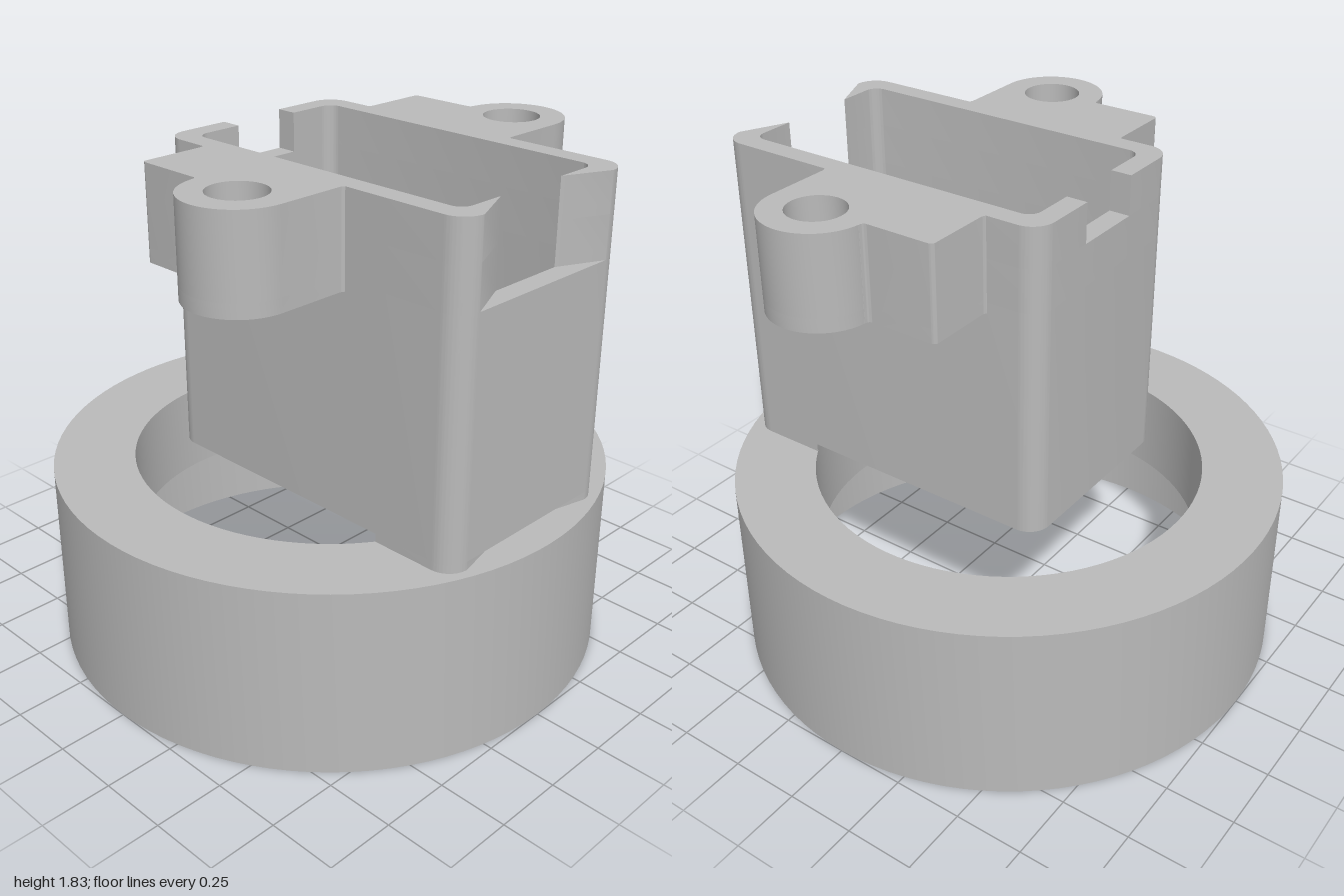
import * as THREE from 'three';
import { toCreasedNormals } from 'three/addons/utils/BufferGeometryUtils.js';

const TOP = 1.83;
// Housing outline: outer and inner rectangles as x0, x1, half depth, corner radius
const OUT = { x0: -0.385, x1: 0.91, z: 0.39, r: 0.08 };
const INN = { x0: -0.31, x1: 0.835, z: 0.315, r: 0.045 };

export function createModel() {
  const model = new THREE.Group();
  const grey = new THREE.MeshStandardMaterial({ color: 0xbababa });
  grey.name = 'grey plastic';

  function add(name, geometry) {
    const mesh = new THREE.Mesh(toCreasedNormals(geometry, 0.6), grey);
    mesh.name = name;
    model.add(mesh);
    return mesh;
  }

  // Extrudes a plan shape upward from y0 to y1
  function slab(name, shape, y0, y1) {
    const g = new THREE.ExtrudeGeometry(shape, { depth: y1 - y0, bevelEnabled: false, curveSegments: 16 });
    g.rotateX(-Math.PI / 2);
    g.translate(0, y0, 0);
    return add(name, g);
  }

  // Mirrors a shape across the x axis
  function flipped(shape, s) {
    const { shape: pts, holes } = shape.extractPoints(16);
    const map = (list) => list.map((p) => new THREE.Vector2(p.x, p.y * s));
    const out = new THREE.Shape(map(pts));
    holes.forEach((h) => out.holes.push(new THREE.Path(map(h))));
    return out;
  }

  function roundedRect(path, { x0, x1, z, r }) {
    path.moveTo(x1, 0);
    path.lineTo(x1, z - r);
    path.absarc(x1 - r, z - r, r, 0, Math.PI / 2);
    path.absarc(x0 + r, z - r, r, Math.PI / 2, Math.PI);
    path.absarc(x0 + r, r - z, r, Math.PI, Math.PI * 1.5);
    path.absarc(x1 - r, r - z, r, Math.PI * 1.5, Math.PI * 2);
    path.closePath();
    return path;
  }

  // Half of the wall, leaving a gap at each end for the notches
  function halfWall(gapLow, gapHigh) {
    const s = new THREE.Shape();
    s.moveTo(OUT.x1, gapHigh);
    s.absarc(OUT.x1 - OUT.r, OUT.z - OUT.r, OUT.r, 0, Math.PI / 2);
    s.absarc(OUT.x0 + OUT.r, OUT.z - OUT.r, OUT.r, Math.PI / 2, Math.PI);
    s.lineTo(OUT.x0, gapLow);
    s.lineTo(INN.x0, gapLow);
    s.absarc(INN.x0 + INN.r, INN.z - INN.r, INN.r, Math.PI, Math.PI / 2, true);
    s.absarc(INN.x1 - INN.r, INN.z - INN.r, INN.r, Math.PI / 2, 0, true);
    s.lineTo(INN.x1, gapHigh);
    s.closePath();
    return s;
  }

  // Base ring with a wide counterbore underneath
  const profile = [[0.71, 0.35], [0.91, 0.35], [0.91, 0], [1, 0], [1, 0.68], [0.71, 0.68], [0.71, 0.35]];
  add('baseRing', new THREE.LatheGeometry(profile.map(([x, y]) => new THREE.Vector2(x, y)), 96));

  // Open rectangular housing
  const body = roundedRect(new THREE.Shape(), OUT);
  body.holes.push(roundedRect(new THREE.Path(), INN));
  slab('housing', body, 0.71, 1.54);

  // Foot joining the housing to the ring
  const foot = new THREE.Shape();
  foot.moveTo(OUT.x1, 0);
  foot.absarc(OUT.x1 - OUT.r, OUT.z - OUT.r, OUT.r, 0, Math.PI / 2);
  foot.lineTo(0.594, OUT.z);
  foot.lineTo(0.637, INN.z);
  foot.absarc(INN.x1 - INN.r, INN.z - INN.r, INN.r, Math.PI / 2, 0, true);
  foot.lineTo(INN.x1, 0);
  foot.closePath();

  // Mounting ear: block plus round screw boss
  const boss = { x: 0.26, z: 0.642, r: 0.185 };
  function earShape(withHole) {
    const e = new THREE.Shape();
    e.moveTo(-0.2, 0.385);
    e.quadraticCurveTo(-0.185, 0.39, -0.185, 0.41);
    e.lineTo(-0.185, 0.625);
    e.quadraticCurveTo(-0.185, 0.642, -0.165, 0.642);
    e.lineTo(0.06, 0.642);
    e.quadraticCurveTo(0.075, 0.642, 0.075, 0.66);
    e.absarc(boss.x, boss.z, boss.r, Math.PI - 0.1, 0, true);
    e.lineTo(0.445, 0.41);
    e.quadraticCurveTo(0.445, 0.39, 0.46, 0.385);
    // Sunk slightly into the housing wall
    e.lineTo(0.46, 0.37);
    e.lineTo(-0.2, 0.37);
    e.closePath();
    if (withHole) {
      const h = new THREE.Path();
      h.absarc(boss.x, boss.z, 0.1, 0, Math.PI * 2);
      e.holes.push(h);
    }
    return e;
  }

  for (const [side, s] of [['front', -1], ['back', 1]]) {
    slab(side + 'Foot', flipped(foot, s), 0.68, 0.71);
    slab(side + 'MiddleWall', flipped(halfWall(0, 0.145), s), 1.54, 1.69);
    slab(side + 'RimWall', flipped(halfWall(0.13, 0.145), s), 1.69, TOP);
    // Solid floor below a blind screw hole
    slab(side + 'EarFloor', flipped(earShape(false), s), 1.5, 1.55);
    slab(side + 'Ear', flipped(earShape(true), s), 1.55, TOP);
  }

  return model;
}
